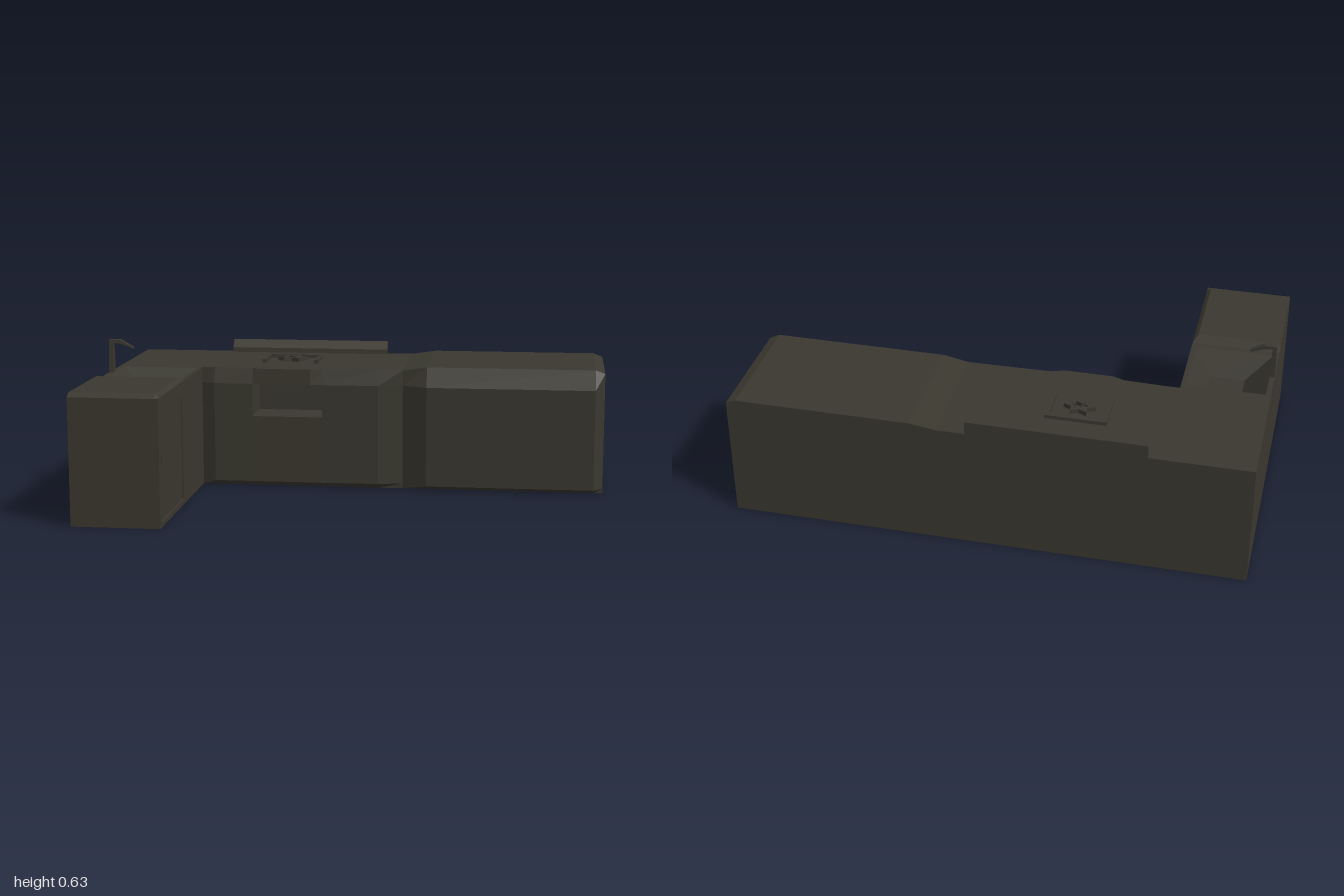
import * as THREE from 'three';

const finish = new THREE.MeshStandardMaterial({ color: 0x3a382f, side: THREE.DoubleSide });
finish.name = 'dark olive finish';

const LOW = 0.493, HIGH = 0.508; // worktop heights

// Flat-faced solid joining matching outlines placed along one axis, with both ends closed.
// sections: [distance, [[u, v], ...]]; place maps (distance, u, v) to a Vector3.
function loft(name, sections, place) {
  const rings = sections.map(([d, pts]) => pts.map(([u, v]) => place(d, u, v)));
  const pos = [];
  const tri = (a, b, c) => {
    const area = b.clone().sub(a).cross(c.clone().sub(a)).length();
    if (area > 1e-9) [a, b, c].forEach((p) => pos.push(p.x, p.y, p.z));
  };
  for (let i = 0; i + 1 < rings.length; i++) {
    const A = rings[i], B = rings[i + 1], n = A.length;
    for (let j = 0; j < n; j++) {
      const k = (j + 1) % n;
      tri(A[j], A[k], B[k]);
      tri(A[j], B[k], B[j]);
    }
  }
  [0, rings.length - 1].forEach((e) => {
    const flat = sections[e][1].map(([u, v]) => new THREE.Vector2(u, v));
    for (const [a, b, c] of THREE.ShapeUtils.triangulateShape(flat, [])) {
      if (e) tri(rings[e][a], rings[e][b], rings[e][c]);
      else tri(rings[e][c], rings[e][b], rings[e][a]);
    }
  });
  const geo = new THREE.BufferGeometry();
  geo.setAttribute('position', new THREE.Float32BufferAttribute(pos, 3));
  geo.computeVertexNormals();
  const mesh = new THREE.Mesh(geo, finish);
  mesh.name = name;
  return mesh;
}

const alongX = (d, z, y) => new THREE.Vector3(d, y, z);
const alongZ = (d, x, y) => new THREE.Vector3(x, y, d);

// Back counter section: front face, top front edge, top height
const counter = (x, front, edge, top) => [x, [
  [-0.642, 0], [-0.155, 0], [front, 0.02], [front, 0.43], [edge, top], [-0.642, top],
]];

// The same section with a recess cut into its front
const recessed = (x, front, edge, top) => [x, [
  [-0.642, 0], [-0.155, 0], [front, 0.02], [front, 0.295], [-0.3, 0.295], [-0.3, 0.43],
  [front, 0.43], [edge, top], [-0.642, top],
]];

// Side wing section: top height, sink floor height and its inset, depth of the door recess
const wing = (z, top, { floor = top, inset = 0, door = 0 } = {}) => {
  const side = -0.655, shoulder = Math.max(LOW, top - 0.015);
  return [z, [
    [-1, 0], [side, 0], [side, 0.02], [side - door, 0.02], [side - door, 0.43], [side, 0.43],
    [side, shoulder], [-0.672, top], [-0.672 - inset * 0.7, floor], [-0.98 + inset, floor],
    [-0.98, top], [-1, top],
  ]];
};

function box(name, w, h, d, x, y, z) {
  const m = new THREE.Mesh(new THREE.BoxGeometry(w, h, d), finish);
  m.name = name;
  m.position.set(x, y, z);
  return m;
}

export function createModel() {
  const model = new THREE.Group();
  model.name = 'cornerKitchen';

  // Back run of cabinets
  model.add(
    loft('backCounterLeft', [
      counter(-0.655, -0.155, -0.155, LOW),
      counter(-0.6, -0.132, -0.155, LOW),
      counter(-0.44, -0.13, -0.15, LOW),
    ], alongX),
    loft('ovenCounter', [
      recessed(-0.44, -0.13, -0.15, LOW),
      recessed(-0.39, -0.13, -0.132, LOW),
      recessed(-0.2, -0.13, -0.132, LOW),
      recessed(-0.15, -0.13, -0.15, LOW),
    ], alongX),
    loft('backCounterMiddle', [
      counter(-0.15, -0.13, -0.15, LOW),
      counter(0.08, -0.132, -0.155, LOW),
      counter(0.18, -0.155, -0.156, LOW),
    ], alongX),
    loft('backCounterRight', [
      counter(0.18, -0.155, -0.156, LOW),
      counter(0.28, -0.11, -0.15, HIGH),
      counter(0.962, -0.11, -0.15, HIGH),
      counter(1, -0.155, -0.156, LOW),
    ], alongX),
  );

  // Side wing with the sink bowl pressed into its top
  const bowl = { floor: 0.4, inset: 0.1 };
  const door = { door: 0.008 };
  model.add(
    loft('sinkWing', [
      wing(-0.642, LOW), wing(-0.13, LOW), wing(-0.065, LOW, bowl),
      wing(0.1, LOW, bowl), wing(0.16, LOW), wing(0.185, LOW), wing(0.23, HIGH),
    ], alongZ),
    loft('doorWing', [wing(0.23, HIGH, door), wing(0.615, HIGH, door)], alongZ),
    loft('wingEnd', [wing(0.615, HIGH), wing(0.642, LOW)], alongZ),
    box('doorHandle', 0.012, 0.045, 0.015, -0.66, 0.252, 0.582),
    box('drain', 0.022, 0.006, 0.022, -0.846, 0.402, 0.015),
  );

  // Bent tapering tap: [x, y, half width, thickness direction x, y]
  const tap = [
    [-0.99, LOW - 0.01, 0.018, 0.009, 0], [-0.99, 0.62, 0.013, 0.008, 0.006],
    [-0.95, 0.618, 0.012, 0.002, 0.008], [-0.9, 0.594, 0.008, 0.002, 0.004],
  ];
  const bend = tap.map(([x, y, w, tx, ty], i) => [i, [
    [x - tx, y + ty, 0.017 - w], [x - tx, y + ty, 0.017 + w],
    [x + tx, y - ty, 0.017 + w], [x + tx, y - ty, 0.017 - w],
  ]]);
  const tapGroup = new THREE.Group();
  tapGroup.name = 'tap';
  for (let i = 0; i + 1 < bend.length; i++) {
    const corners = [bend[i][1], bend[i + 1][1]];
    const pos = [];
    for (let j = 0; j < 4; j++) {
      const k = (j + 1) % 4, [a, b] = corners;
      pos.push(...a[j], ...b[j], ...b[k], ...a[j], ...b[k], ...a[k]);
    }
    if (i === bend.length - 2) {
      const e = corners[1];
      pos.push(...e[0], ...e[1], ...e[2], ...e[0], ...e[2], ...e[3]);
    }
    const geo = new THREE.BufferGeometry();
    geo.setAttribute('position', new THREE.Float32BufferAttribute(pos, 3));
    geo.computeVertexNormals();
    const piece = new THREE.Mesh(geo, finish);
    piece.name = 'tapSection';
    tapGroup.add(piece);
  }
  model.add(tapGroup);

  // Slanted splash strip along the back edge
  const splash = [[-0.61, LOW - 0.01], [-0.613, 0.513], [-0.644, 0.546], [-0.644, LOW - 0.01]];
  model.add(loft('splashStrip', [[-0.61, splash], [0.07, splash]], alongX));

  // Cooking hob: three-sided rail and a star-shaped burner ring
  const hob = new THREE.Group();
  hob.name = 'hob';
  hob.add(box('hobRailBack', 0.235, 0.018, 0.014, -0.31, 0.498, -0.466));
  for (const s of [-1, 1]) {
    hob.add(box('hobRailSide', 0.016, 0.018, 0.16, -0.31 + s * 0.11, 0.498, -0.39));
  }
  const star = (outer, inner) => Array.from({ length: 12 }, (_, i) => {
    const r = i % 2 ? inner : outer, a = (i * Math.PI) / 6;
    return new THREE.Vector2(r * Math.cos(a), r * Math.sin(a) * 0.8);
  });
  const shape = new THREE.Shape(star(0.062, 0.036));
  shape.holes.push(new THREE.Path(star(0.035, 0.02)));
  const burner = new THREE.Mesh(
    new THREE.ExtrudeGeometry(shape, { depth: 0.02, bevelEnabled: false }), finish);
  burner.name = 'burner';
  burner.rotation.x = -Math.PI / 2;
  burner.position.set(-0.31, LOW - 0.003, -0.383);
  hob.add(burner);
  model.add(hob);

  return model;
}
